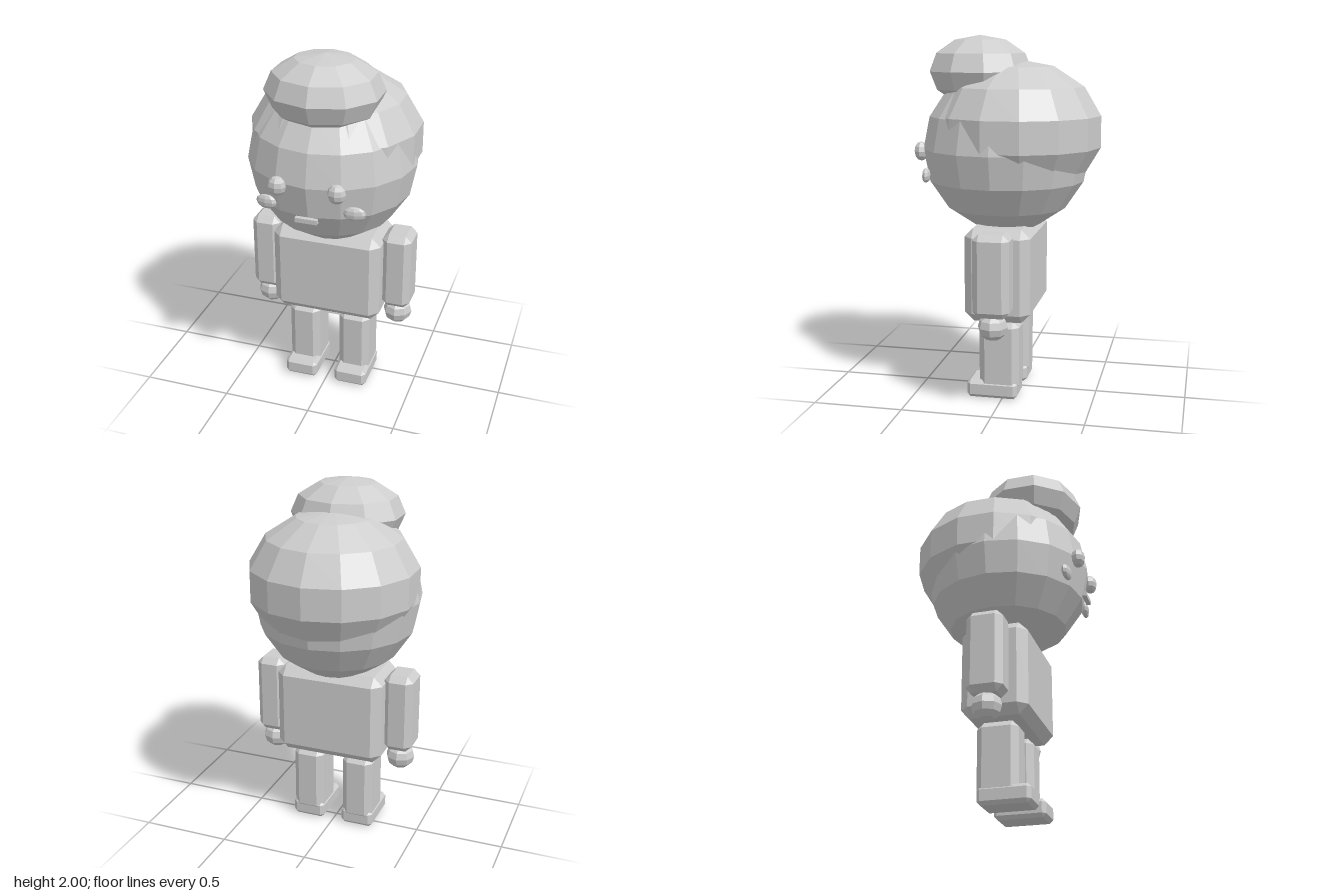
import * as THREE from 'three';
import { ConvexGeometry } from 'three/addons/geometries/ConvexGeometry.js';

export function createModel() {
  const model = new THREE.Group();
  model.name = 'figure';
  const clay = new THREE.MeshStandardMaterial({ color: 0xcccccc });
  clay.name = 'light grey';

  function add(name, geometry, x, y, z) {
    const mesh = new THREE.Mesh(geometry, clay);
    mesh.name = name;
    mesh.position.set(x, y, z);
    model.add(mesh);
    return mesh;
  }

  // Faceted ellipsoid with a vertex line facing the front
  function ball(rx, ry, rz, segments, rows) {
    const g = new THREE.SphereGeometry(1, segments, rows);
    g.rotateY(Math.PI / 2);
    g.scale(rx, ry, rz);
    const flat = g.toNonIndexed();
    flat.computeVertexNormals();
    return flat;
  }

  // Box with every edge and corner chamfered by c
  function chamferBox(w, h, d, c) {
    const points = [];
    for (const sx of [-1, 1]) for (const sy of [-1, 1]) for (const sz of [-1, 1]) {
      for (let axis = 0; axis < 3; axis++) {
        const inset = [c, c, c];
        inset[axis] = 0;
        points.push(new THREE.Vector3(
          sx * (w / 2 - inset[0]), sy * (h / 2 - inset[1]), sz * (d / 2 - inset[2])));
      }
    }
    return new ConvexGeometry(points);
  }

  // Head, hair and the bun above the forehead
  add('head', ball(0.465, 0.465, 0.465, 16, 8), 0, 1.385, 0.018);
  add('hair', ball(0.477, 0.388, 0.477, 14, 7), 0, 1.482, -0.038);
  add('hairBun', ball(0.318, 0.195, 0.29, 10, 6), 0, 1.805, 0.168);
  add('mouth', new THREE.BoxGeometry(0.12, 0.025, 0.025), 0, 1.203, 0.472);

  // Torso
  add('torso', chamferBox(0.62, 0.52, 0.365, 0.05), 0, 0.715, 0.018);

  // Paired parts
  for (const [side, s] of [['left', 1], ['right', -1]]) {
    add(side + 'Eye', ball(0.05, 0.053, 0.04, 8, 6), s * 0.16, 1.373, 0.465);
    const cheek = add(side + 'Cheek', ball(0.06, 0.04, 0.022, 8, 6), s * 0.24, 1.25, 0.416);
    cheek.rotation.y = s * 0.12;
    add(side + 'Arm', chamferBox(0.165, 0.455, 0.2, 0.035), s * 0.384, 0.75, 0.015);
    add(side + 'Hand', ball(0.082, 0.075, 0.082, 8, 6), s * 0.384, 0.465, 0.015);
    add(side + 'Leg', chamferBox(0.18, 0.4, 0.225, 0.035), s * 0.15, 0.245, 0.02);
    add(side + 'Shoe', chamferBox(0.19, 0.1, 0.285, 0.02), s * 0.15, 0.05, 0.058);
  }

  return model;
}
